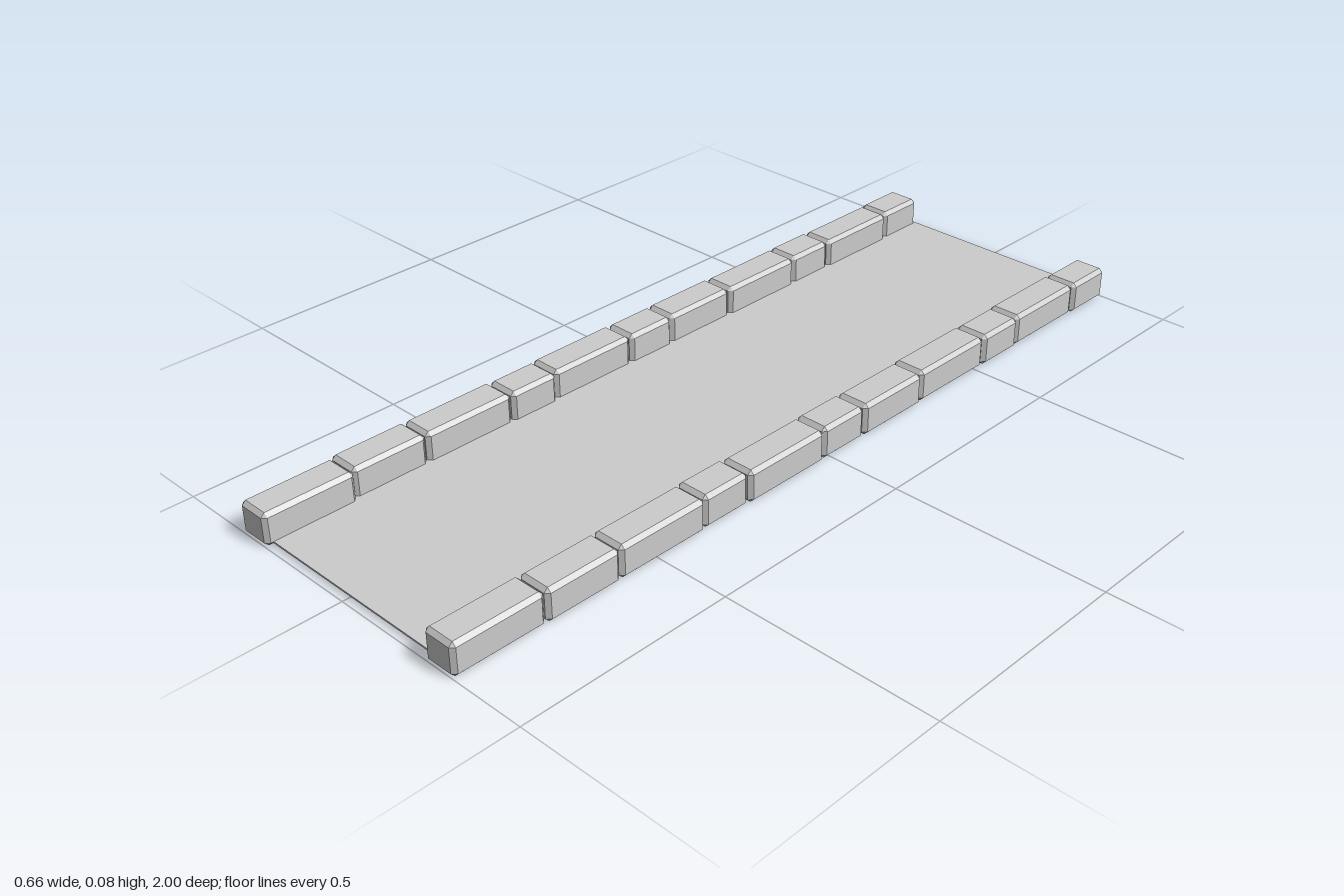
import * as THREE from 'three';
import { ConvexGeometry } from 'three/addons/geometries/ConvexGeometry.js';

const material = new THREE.MeshStandardMaterial({ color: 0xcccccc, flatShading: true });

// Box with every edge cut at 45 degrees: each corner becomes three points
function chamferedBox(w, h, d, c) {
  const half = [w / 2, h / 2, d / 2];
  const points = [];
  for (const sx of [-1, 1]) for (const sy of [-1, 1]) for (const sz of [-1, 1]) {
    for (let axis = 0; axis < 3; axis++) {
      const [x, y, z] = half.map((v, i) => (i === axis ? v : v - c));
      points.push(new THREE.Vector3(sx * x, sy * y, sz * z));
    }
  }
  return new ConvexGeometry(points);
}

export function createModel() {
  const model = new THREE.Group();
  model.name = 'pathSection';

  // Thin walking surface
  const path = new THREE.Mesh(new THREE.BoxGeometry(0.52, 0.004, 1.985), material);
  path.name = 'path';
  path.position.set(0, 0.008, -0.0075);
  model.add(path);

  // Kerb stones of uneven length along both sides, back to front
  const joints = [-1, -0.873, -0.65, -0.523, -0.298, -0.106, 0.023, 0.248, 0.373, 0.6, 0.784, 1];
  const shifts = [0.001, -0.002, 0.001, -0.001, 0.002, 0, 0.002, -0.002, 0.001, 0.002, 0];
  const height = 0.076;
  for (const side of [-1, 1]) {
    const kerb = new THREE.Group();
    kerb.name = side > 0 ? 'leftKerb' : 'rightKerb';
    for (let i = 0; i < shifts.length; i++) {
      const back = joints[i] + (i > 0 ? 0.001 : 0);
      const front = joints[i + 1] - (i < shifts.length - 1 ? 0.001 : 0);
      const stone = new THREE.Mesh(chamferedBox(0.081, height, front - back, 0.009), material);
      stone.name = 'kerbStone';
      // The frontmost right stone sits slightly inwards
      const inset = side < 0 && i === shifts.length - 1 ? 0.006 : 0;
      stone.position.set(side * (0.286 + shifts[i] - inset), height / 2, (back + front) / 2);
      kerb.add(stone);
    }
    model.add(kerb);
  }
  return model;
}
